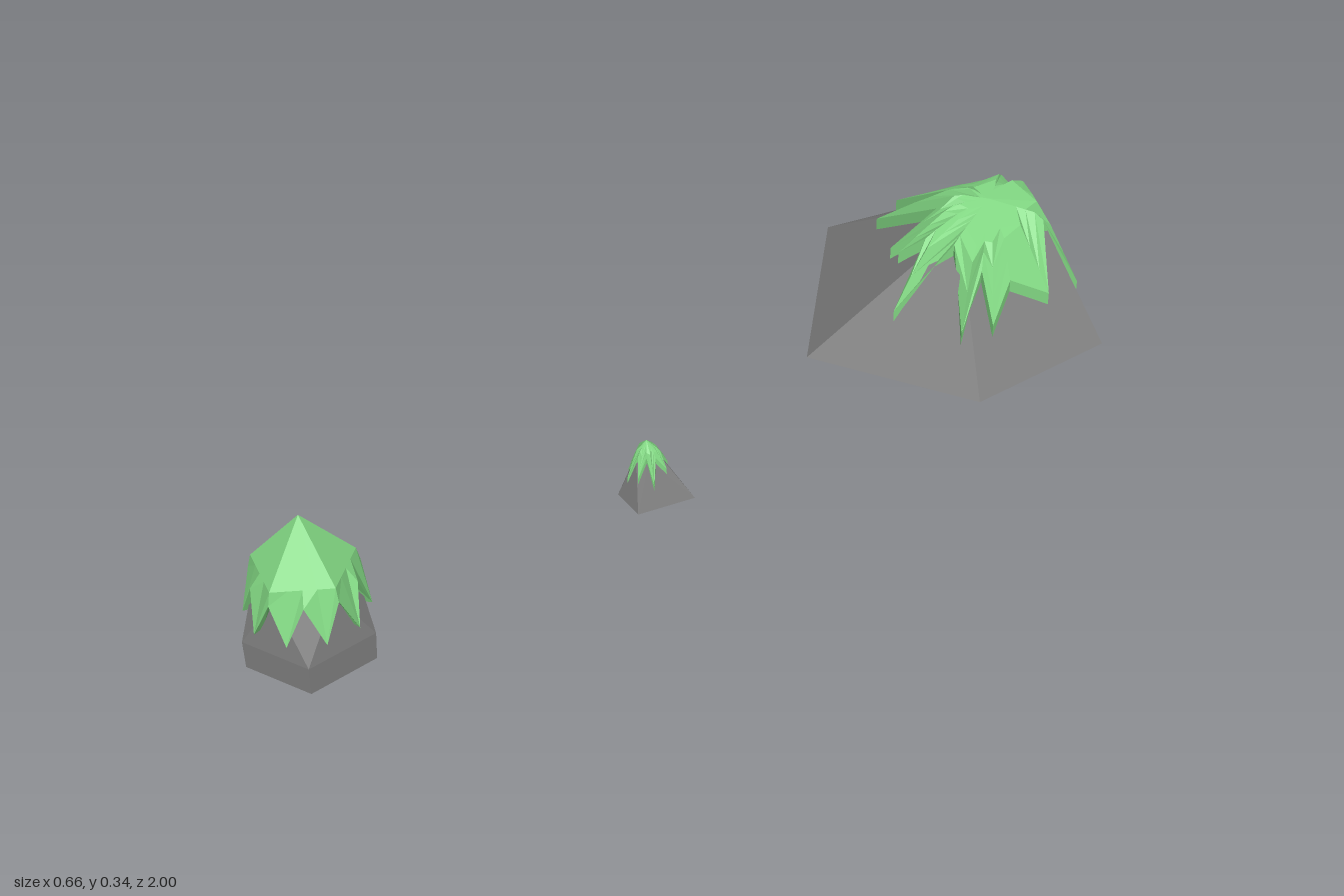
import * as THREE from 'three';
import { ConvexGeometry } from 'three/addons/geometries/ConvexGeometry.js';

const stone = new THREE.MeshStandardMaterial({ color: 0x808080 });
stone.name = 'stone grey';
const moss = new THREE.MeshStandardMaterial({ color: 0x82d883 });
moss.name = 'moss green';

const V = (x, y, z) => new THREE.Vector3(x, y, z);
const rad = THREE.MathUtils.degToRad;
const polar = (cx, cz, r, deg, y) => V(cx + r * Math.cos(rad(deg)), y, cz + r * Math.sin(rad(deg)));

// Faceted rock: the hull of a few corner points
function rock(name, points) {
  const mesh = new THREE.Mesh(new ConvexGeometry(points), stone);
  mesh.name = name;
  return mesh;
}

// Moss cap: rows of equal length, ordered by angle, lofted from summit to lip
function cap(name, rows) {
  const pos = [];
  const tri = (a, b, c) => pos.push(...a.toArray(), ...b.toArray(), ...c.toArray());
  for (let r = 0; r < rows.length - 1; r++) {
    const a = rows[r], b = rows[r + 1], n = a.length;
    for (let i = 0; i < n; i++) {
      const j = (i + 1) % n;
      tri(a[i], b[j], b[i]);
      if (r > 0) tri(a[i], a[j], b[j]);
    }
  }
  const geo = new THREE.BufferGeometry();
  geo.setAttribute('position', new THREE.Float32BufferAttribute(pos, 3));
  geo.computeVertexNormals();
  const mesh = new THREE.Mesh(geo, moss);
  mesh.name = name;
  return mesh;
}

// Moss draped over a rock: a star outline laid on the stone and lifted by its thickness
function drape(name, base, [cx, cz], outline, lift, steps) {
  const ray = new THREE.Raycaster();
  const on = (x, z, up) => {
    ray.set(V(x, 2, z), V(0, -1, 0));
    const hit = ray.intersectObject(base)[0];
    return V(x, (hit ? hit.point.y : 0.06) + up, z);
  };
  const row = (t, up) => outline.map(([x, z]) => on(cx + (x - cx) * t, cz + (z - cz) * t, up));
  const rows = [];
  for (let s = 0; s <= steps; s++) rows.push(row(s / steps, lift));
  rows.push(row(1, -0.004));
  return cap(name, rows);
}

export function createModel() {
  const group = new THREE.Group();
  group.name = 'mossyRocks';

  // Large rock at the back
  const large = rock('largeRock', [
    V(-0.33, 0.06, -0.68), V(-0.02, 0.06, -1), V(0.33, 0.06, -0.78),
    V(0.305, 0.06, -0.46), V(-0.02, 0.06, -0.32), V(0.05, 0.05, -0.66),
    V(0, 0.28, -0.68), V(0.06, 0.3, -0.8), V(0.18, 0.285, -0.75),
    V(0.185, 0.255, -0.53), V(0.09, 0.255, -0.5), V(0.055, 0.31, -0.64),
  ]);
  // Alternating tips and notches
  const star = [
    [0.26, -0.69], [0.225, -0.615], [0.255, -0.54], [0.2, -0.56], [0.23, -0.48], [0.135, -0.55],
    [0.1, -0.43], [0.08, -0.53], [0.03, -0.51], [0.04, -0.55], [-0.01, -0.53], [0.03, -0.61],
    [-0.145, -0.63], [0, -0.67], [-0.155, -0.695], [-0.02, -0.72], [-0.01, -0.86], [0.055, -0.765],
    [0.045, -0.94], [0.125, -0.845], [0.21, -0.835], [0.19, -0.74],
  ];
  group.add(large, drape('largeRockMoss', large, [0.1, -0.68], star, 0.025, 6));

  // Tiny rock in the middle
  const tinyPoints = [
    V(0.005, 0.006, 0.09), V(0.112, 0.006, 0.09), V(0.08, 0.006, 0.2),
    V(0.01, 0.006, 0.188), V(-0.012, 0.006, 0.14), V(0.04, 0, 0.145), V(0.045, 0.118, 0.148),
  ];
  for (let k = 0; k < 5; k++) tinyPoints.push(polar(0.045, 0.146, 0.022, 36 + 72 * k, 0.098));
  const tiny = rock('tinyRock', tinyPoints);
  const tinyStar = [];
  for (let k = 0; k < 16; k++) {
    const p = polar(0.045, 0.146, k % 2 ? 0.039 : 0.023, 22.5 * k, 0);
    tinyStar.push([p.x, p.z]);
  }
  group.add(tiny, drape('tinyRockMoss', tiny, [0.045, 0.148], tinyStar, 0.012, 4));

  // Upright five-sided rock at the front
  const cx = 0.04, cz = 0.89, uprightPoints = [V(cx, 0.32, cz)];
  for (let k = 0; k < 5; k++) {
    uprightPoints.push(
      polar(cx, cz, 0.114, 36 + 72 * k, 0.06),
      polar(cx, cz, 0.116, 36 + 72 * k, 0.115),
      polar(cx, cz, 0.083, 72 * k, 0.225),
    );
  }
  group.add(rock('uprightRock', uprightPoints));

  // Its pointed cap: pentagonal shoulder with ten hanging tips
  const summit = [], shoulder = [], rim = [], lip = [];
  for (let k = 0; k < 20; k++) {
    const a = 18 * k, tip = k % 2 === 1;
    const fromCorner = Math.abs(((a + 36) % 72) - 36);
    const flat = 0.091 * Math.cos(rad(36)) / Math.cos(rad(36 - fromCorner));
    const r = tip ? 0.107 : fromCorner === 0 ? 0.097 : 0.092;
    const y = tip ? 0.152 : 0.222;
    summit.push(V(cx, 0.345, cz));
    shoulder.push(polar(cx, cz, flat, a, 0.247));
    rim.push(polar(cx, cz, r, a, y));
    lip.push(polar(cx, cz, r - 0.02, a, y + 0.004));
  }
  group.add(cap('uprightRockMoss', [summit, shoulder, rim, lip]));

  return group;
}
